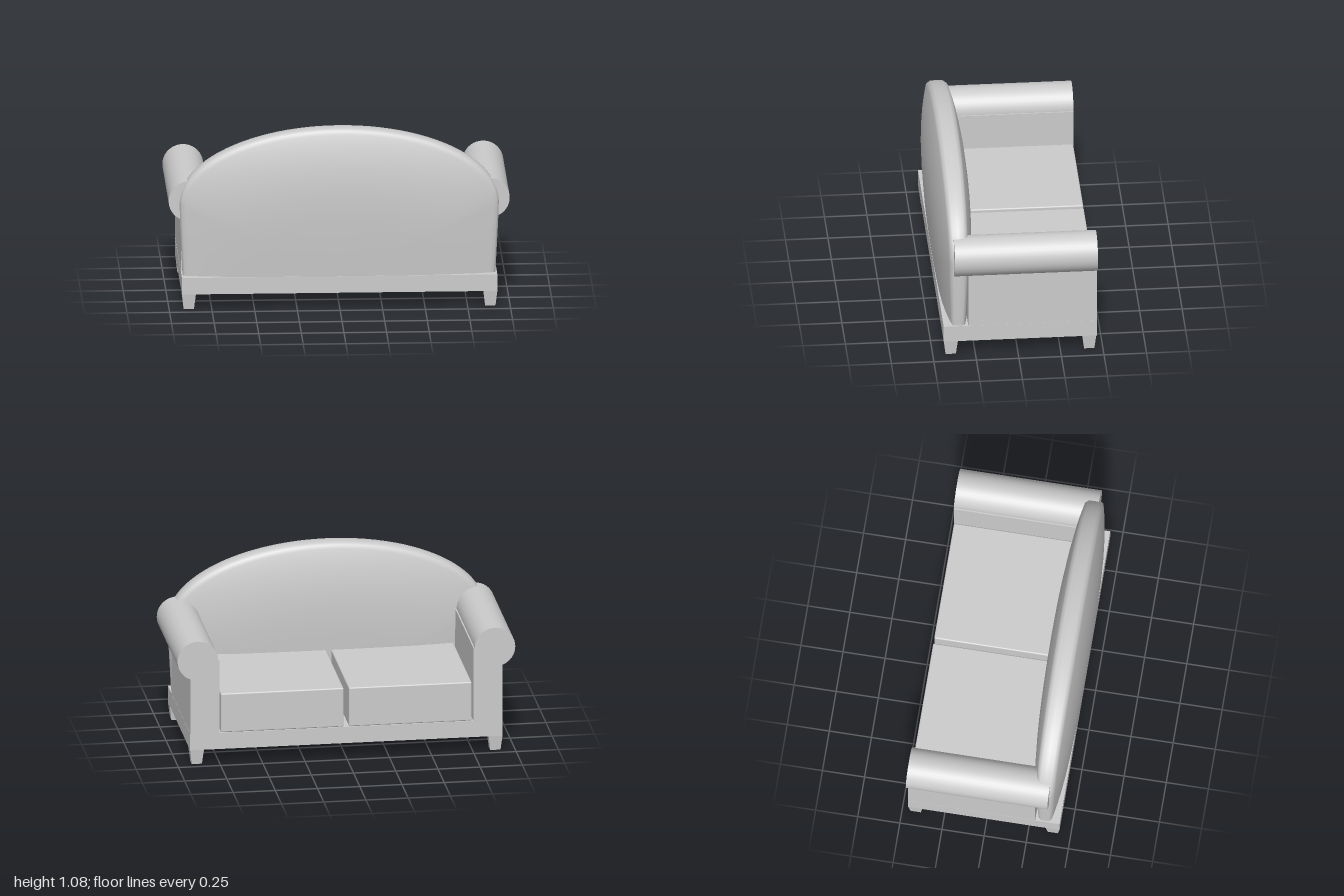
import * as THREE from 'three';
import { RoundedBoxGeometry } from 'three/addons/geometries/RoundedBoxGeometry.js';

const material = new THREE.MeshStandardMaterial({ color: 0xcccccc });
const backMaterial = new THREE.MeshStandardMaterial({ color: 0xcccccc, side: THREE.DoubleSide });

const BASE_TOP = 0.19;

function add(group, name, geometry, x, y, z, mat = material) {
  const mesh = new THREE.Mesh(geometry, mat);
  mesh.name = name;
  mesh.position.set(x, y, z);
  group.add(mesh);
  return mesh;
}

// Square leg, narrower at the foot
function legGeometry() {
  const geo = new THREE.BoxGeometry(0.082, 0.09, 0.082);
  const p = geo.attributes.position;
  for (let i = 0; i < p.count; i++) {
    if (p.getY(i) < 0) {
      p.setX(i, p.getX(i) * 0.74);
      p.setZ(i, p.getZ(i) * 0.74);
    }
  }
  geo.computeVertexNormals();
  return geo;
}

// Half outline of the backrest: nearly upright side, then an elliptical arch
function backOutline() {
  const side = [[0.918, BASE_TOP], [0.925, 0.33], [0.933, 0.48]];
  const arch = [];
  const steps = 24;
  for (let i = 0; i <= steps; i++) {
    const a = (i / steps) * Math.PI / 2;
    arch.push([0.938 * Math.cos(a), 0.62 + 0.455 * Math.sin(a)]);
  }
  const right = [...side, ...arch];
  const left = right.slice(0, -1).reverse().map(([x, y]) => [-x, y]);
  return [...right, ...left];
}

// Pillow-shaped backrest: the outline is shrunk in rings towards the bottom
// centre, and each ring gets a thickness that falls off at the rim
function backGeometry() {
  const outline = backOutline();
  const rim = r => Math.sqrt(1 - 0.75 * Math.pow(Math.max(0, r - 0.5) / 0.5, 2));
  const front = [0, 0.2, 0.4, 0.55, 0.68, 0.78, 0.86, 0.92, 0.96, 0.985].map(r => [r, -rim(r)]);
  const back = front.map(([r, f]) => [r, -f]).reverse();
  const rings = [...front, [0.998, -0.35], [1, 0], [0.998, 0.35], ...back];

  const positions = [];
  const indices = [];
  const n = outline.length;
  for (const [r, f] of rings) {
    for (const [ox, oy] of outline) {
      const x = ox * r;
      const y = BASE_TOP + (oy - BASE_TOP) * r;
      const bulge = 0.088 + 0.03 * Math.sin(Math.PI * (y - BASE_TOP) / 1.1);
      const thickness = bulge * (1 - 0.22 * (x / 0.93) ** 2);
      positions.push(x, y, thickness * f);
    }
  }
  for (let j = 0; j < rings.length - 1; j++) {
    for (let i = 0; i < n - 1; i++) {
      const a = j * n + i, b = a + 1, c = a + n, d = c + 1;
      indices.push(a, b, c, b, d, c);
    }
  }
  const geo = new THREE.BufferGeometry();
  geo.setAttribute('position', new THREE.Float32BufferAttribute(positions, 3));
  geo.setIndex(indices);
  geo.computeVertexNormals();
  return geo;
}

export function createModel() {
  const sofa = new THREE.Group();
  sofa.name = 'sofa';

  // Base frame; the seat opens towards -z
  add(sofa, 'base', new THREE.BoxGeometry(1.85, 0.1, 0.9), 0, 0.14, -0.014);
  add(sofa, 'backrest', backGeometry(), 0, 0, 0.347, backMaterial);

  const leg = legGeometry();
  const cushion = new RoundedBoxGeometry(0.728, 0.24, 0.76, 2, 0.008);
  const panel = new THREE.BoxGeometry(0.172, 0.45, 0.755);
  const roll = new THREE.CylinderGeometry(0.12, 0.12, 0.84, 40).rotateX(Math.PI / 2);

  for (const [side, s] of [['left', 1], ['right', -1]]) {
    add(sofa, side + 'Cushion', cushion, s * 0.379, BASE_TOP + 0.12, -0.082);
    add(sofa, side + 'ArmPanel', panel, s * 0.838, BASE_TOP + 0.225, -0.0865);
    add(sofa, side + 'ArmRoll', roll, s * 0.88, 0.64, -0.045);
    add(sofa, side + 'SeatLeg', leg, s * 0.884, 0.045, -0.42);
    add(sofa, side + 'BackLeg', leg, s * 0.884, 0.045, 0.394);
  }
  return sofa;
}
